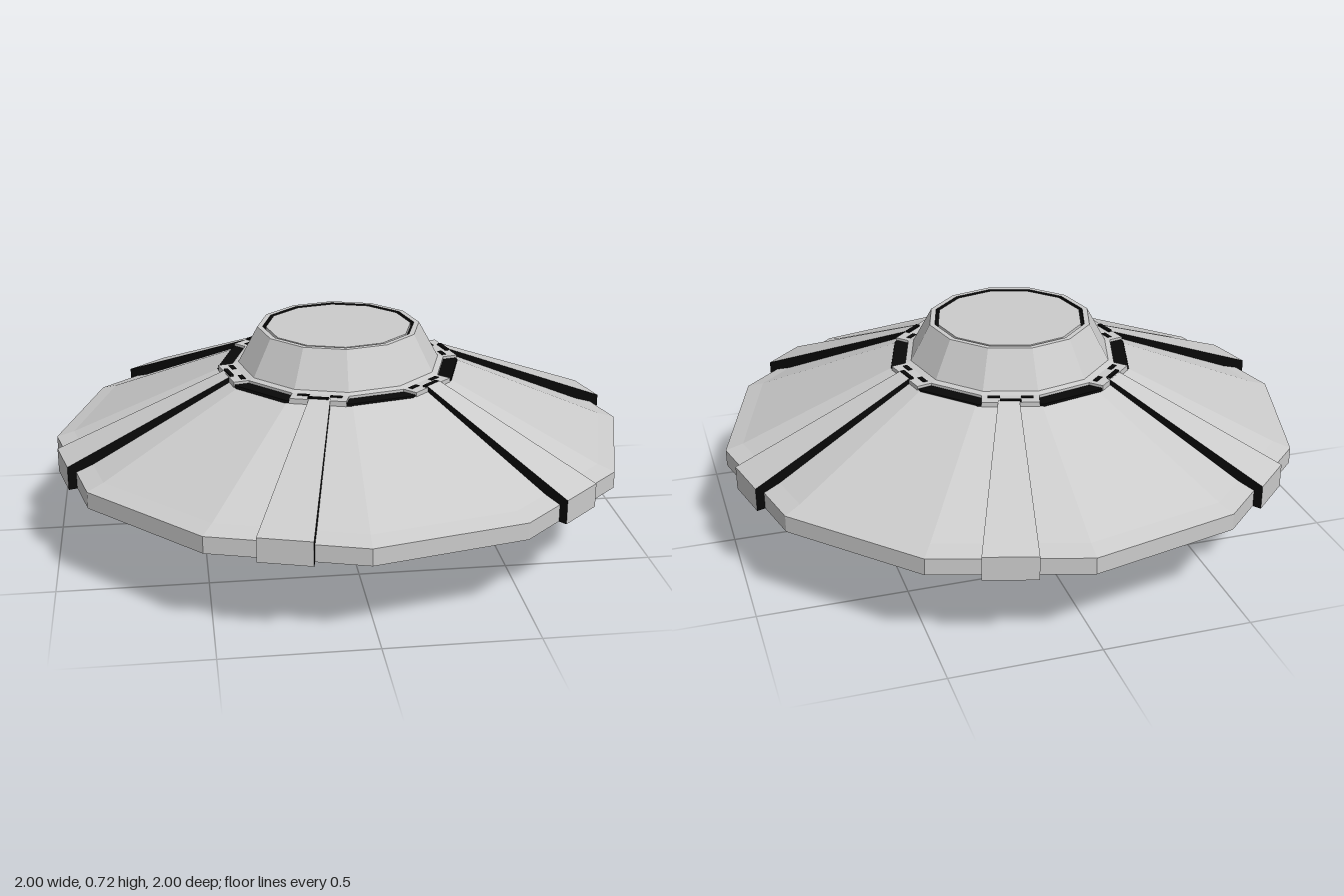
import * as THREE from 'three';

const SIDES = 12;
const STEP = (Math.PI * 2) / SIDES;
const TWIST = THREE.MathUtils.degToRad(-1.7); // small turn of the whole saucer
const grey = new THREE.MeshStandardMaterial({ color: 0xcccccc, flatShading: true });
const dark = new THREE.MeshStandardMaterial({ color: 0x080808, flatShading: true });

function add(parent, name, geometry, material = grey) {
  const mesh = new THREE.Mesh(geometry, material);
  mesh.name = name;
  parent.add(mesh);
  return mesh;
}

// Twelve-sided turned part; the profile is [radius, height], bottom to top
function turned(parent, name, profile, material) {
  const points = profile.map(([r, y]) => new THREE.Vector2(r, y));
  return add(parent, name, new THREE.LatheGeometry(points, SIDES, TWIST), material);
}

// One sloping face of the lower hull, with a recessed oval porthole if wanted
function lowerPanel(parent, theta, hasPorthole) {
  const r0 = 0.52, y0 = 0.078, r1 = 1, y1 = 0.28, depth = 0.03;
  const c = Math.cos(STEP / 2), s = Math.sin(STEP / 2);
  const run = (r1 - r0) * c, rise = y1 - y0;
  const length = Math.hypot(run, rise);
  const place = (g) => g
    .rotateX(Math.PI / 2 - Math.atan2(rise, run))
    .translate(0, y0, r0 * c)
    .rotateY(theta);

  const shape = new THREE.Shape([
    new THREE.Vector2(-r0 * s, 0), new THREE.Vector2(r0 * s, 0),
    new THREE.Vector2(r1 * s, length), new THREE.Vector2(-r1 * s, length),
  ]);
  if (hasPorthole) {
    const oval = (grow) => new THREE.Path().absellipse(0, length * 0.56, 0.085 + grow, 0.13 + grow, 0, Math.PI * 2);
    shape.holes.push(oval(0));
    const glass = new THREE.ShapeGeometry(new THREE.Shape(oval(0.005).getPoints(20)));
    add(parent, 'portholeGlass', place(glass.translate(0, 0, -depth + 0.002)), dark);
  }
  const panel = new THREE.ExtrudeGeometry(shape, { depth, bevelEnabled: false, curveSegments: 20 });
  add(parent, 'lowerHullPanel', place(panel.translate(0, 0, -depth)));
}

// Tapered strip running down the upper hull and over the rim, with dark flanks
function rib(parent, theta) {
  const profile = new THREE.Shape([
    new THREE.Vector2(0.405, 0.55), new THREE.Vector2(0.93, 0.279),
    new THREE.Vector2(0.995, 0.279), new THREE.Vector2(0.995, 0.36),
    new THREE.Vector2(0.405, 0.592),
  ]);
  const g = new THREE.ExtrudeGeometry(profile, { depth: 1, bevelEnabled: false });
  g.translate(0, 0, -0.5);
  const p = g.attributes.position;
  for (let i = 0; i < p.count; i++) {
    p.setZ(i, p.getZ(i) * (0.07 + (p.getX(i) - 0.405) * 0.178));
  }
  g.computeVertexNormals();
  add(parent, 'rib', g.rotateY(theta - Math.PI / 2), [dark, grey]);
}

// Small block set on the collar around the dome
function collarBlock(parent, name, theta, w, h, d, u, y, r, material) {
  add(parent, name, new THREE.BoxGeometry(w, h, d).translate(u, y, r).rotateY(theta), material);
}

export function createModel() {
  const model = new THREE.Group();
  model.name = 'saucer';

  // Main hull
  const hull = new THREE.Group();
  hull.name = 'hull';
  model.add(hull);
  turned(hull, 'upperHull', [[1, 0.28], [1, 0.337], [0.94, 0.355], [0.415, 0.576], [0.3, 0.576]]);
  for (let i = 0; i < SIDES; i++) {
    const theta = TWIST + (i + 0.5) * STEP;
    lowerPanel(hull, theta, i % 2 === 0);
    if (i % 2 === 1) rib(hull, theta);
  }

  // Dome with a dark slot round its foot and a groove round its cap
  const dome = new THREE.Group();
  dome.name = 'dome';
  dome.position.x = -0.006;
  model.add(dome);
  turned(dome, 'footSlot', [[0.425, 0.57], [0.422, 0.579], [0.34, 0.579]], dark);
  turned(dome, 'domeShell', [[0.372, 0.575], [0.372, 0.588], [0.352, 0.594], [0.283, 0.72], [0.265, 0.72]]);
  turned(dome, 'capGroove', [[0.265, 0.72], [0.265, 0.705], [0.24, 0.705]], dark);
  turned(dome, 'domeCap', [[0.253, 0.7], [0.253, 0.718], [0, 0.718]]);
  for (let i = 1; i < SIDES; i += 2) {
    const theta = TWIST + (i + 0.5) * STEP;
    collarBlock(dome, 'collarBlock', theta, 0.19, 0.02, 0.06, 0, 0.578, 0.382);
    for (const u of [-0.055, 0.055]) {
      collarBlock(dome, 'collarSlit', theta, 0.04, 0.02, 0.016, u, 0.58, 0.372, dark);
    }
    collarBlock(dome, 'ribEndSlit', theta, 0.07, 0.02, 0.014, 0, 0.584, 0.402, dark);
  }

  // Underside: outer ring and central hub, each with a dark recess wall
  const base = new THREE.Group();
  base.name = 'base';
  base.position.x = -0.012;
  model.add(base);
  turned(base, 'outerRing', [[0.435, 0.05], [0.52, 0.05], [0.52, 0.085]]);
  turned(base, 'ringRecessWall', [[0.425, 0.08], [0.435, 0.05]], dark);
  turned(base, 'ringFloor', [[0, 0.08], [0.43, 0.08]]);
  turned(base, 'hub', [[0.235, 0], [0.295, 0], [0.295, 0.085]]);
  turned(base, 'hubRecessWall', [[0.23, 0.035], [0.235, 0]], dark);
  turned(base, 'hubFloor', [[0, 0.035], [0.235, 0.035]]);

  return model;
}
